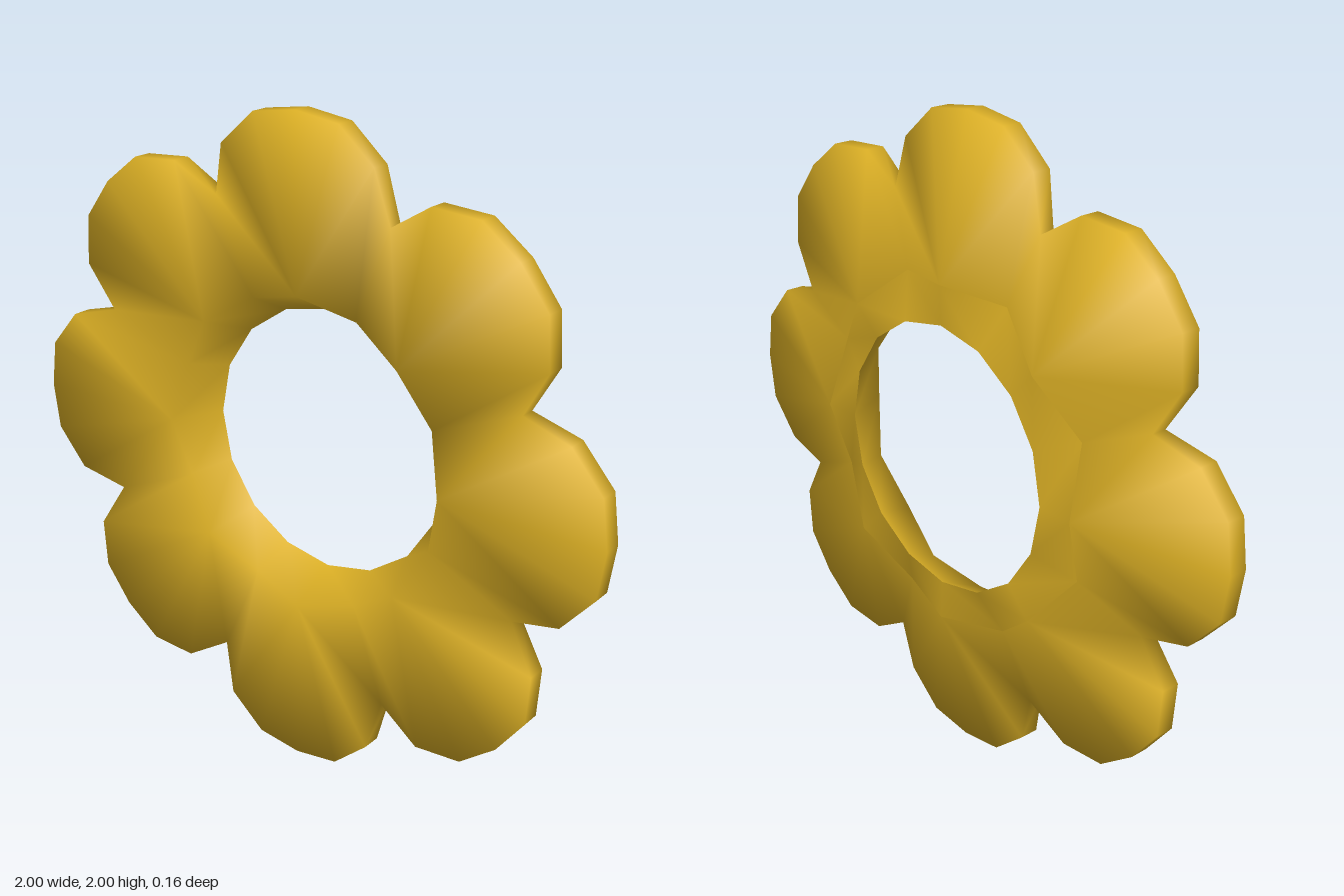
import * as THREE from 'three';

const PETALS = 8;
const HALF = Math.PI / PETALS;
const NOTCH = 0.784;

// One petal's outline as [radial, tangential], starting at the notch before it
const OUTLINE = [
  [NOTCH * Math.cos(HALF), -NOTCH * Math.sin(HALF)],
  [0.88, -0.26], [0.98, -0.145], [1, 0], [0.98, 0.145], [0.88, 0.26],
];

function place(petal, radial, tangential, z) {
  const a = petal * 2 * HALF;
  return new THREE.Vector3(
    radial * Math.cos(a) - tangential * Math.sin(a),
    1 + radial * Math.sin(a) + tangential * Math.cos(a),
    z,
  );
}

// Outer loop following the petal edges; notches sit at their own depth
function outlineLoop(z, notchZ) {
  const loop = [];
  for (let p = 0; p < PETALS; p++) {
    OUTLINE.forEach(([r, t], k) => loop.push(place(p, r, t, k === 0 ? notchZ : z)));
  }
  return loop;
}

// Inner loop of 16 corners; each ridge corner is shared by its petal's whole fan
function innerLoop(ridgeR, ridgeZ, valleyR, valleyZ) {
  const loop = [];
  for (let p = 0; p < PETALS; p++) {
    const valley = place(p, valleyR * Math.cos(HALF), -valleyR * Math.sin(HALF), valleyZ);
    const ridge = place(p, ridgeR, 0, ridgeZ);
    OUTLINE.forEach((_, k) => loop.push(k === 0 ? valley : ridge));
  }
  return loop;
}

// Skin successive loops, with every face counting equally in the smooth normals
function skin(loops) {
  const normals = new Map();
  const corners = [];
  const addFace = (a, b, c) => {
    if (a === b || b === c || a === c) return;
    const n = b.clone().sub(a).cross(c.clone().sub(a)).normalize();
    for (const v of [a, b, c]) {
      if (!normals.has(v)) normals.set(v, new THREE.Vector3());
      normals.get(v).add(n);
      corners.push(v);
    }
  };
  for (let l = 0; l + 1 < loops.length; l++) {
    const A = loops[l], B = loops[l + 1];
    for (let i = 0; i < A.length; i++) {
      const j = (i + 1) % A.length;
      addFace(A[i], B[i], B[j]);
      addFace(A[i], B[j], A[j]);
    }
  }
  const geometry = new THREE.BufferGeometry();
  geometry.setAttribute('position',
    new THREE.Float32BufferAttribute(corners.flatMap((v) => v.toArray()), 3));
  geometry.setAttribute('normal',
    new THREE.Float32BufferAttribute(
      corners.flatMap((v) => normals.get(v).clone().normalize().toArray()), 3));
  return geometry;
}

export function createModel() {
  const gold = new THREE.MeshStandardMaterial({ color: 0xdcb025 });
  gold.name = 'gold';
  const group = new THREE.Group();
  group.name = 'flowerRing';

  const hole = innerLoop(0.41, -0.075, 0.41, -0.075);
  const lip = innerLoop(0.485, 0.08, 0.475, 0.045);
  const frontRim = outlineLoop(0.08, 0.06);
  const backRim = outlineLoop(0.02, 0.012);
  const backCrease = innerLoop(0.53, -0.08, 0.55, -0.02);

  // Throat, front of the petals, rim and sloping back
  const petals = new THREE.Mesh(skin([hole, lip, frontRim, backRim, backCrease]), gold);
  petals.name = 'petals';
  // Sharp-edged collar around the hole on the back
  const collar = new THREE.Mesh(skin([backCrease, hole]), gold);
  collar.name = 'backCollar';

  group.add(petals, collar);
  return group;
}
